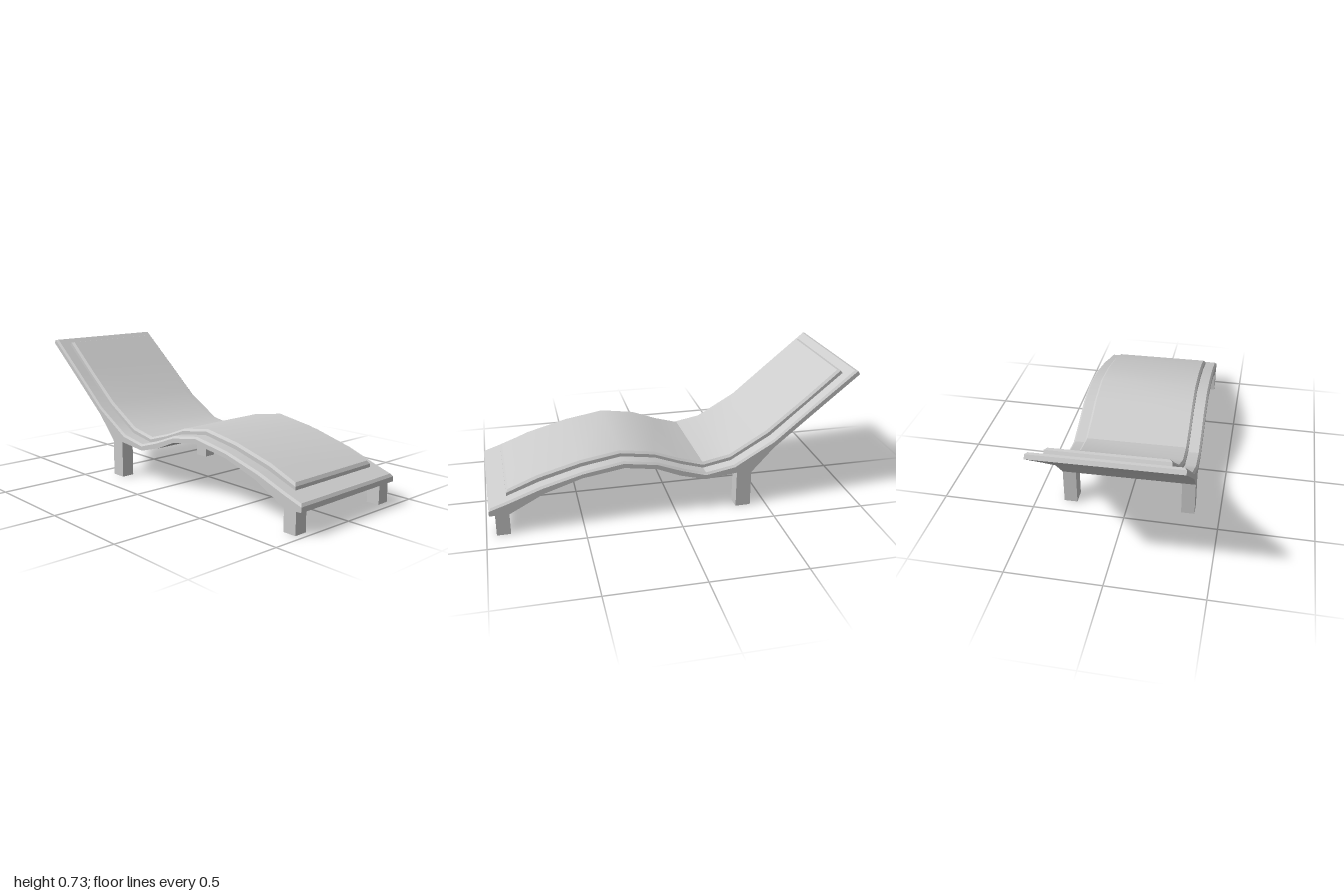
import * as THREE from 'three';
import { toCreasedNormals } from 'three/addons/utils/BufferGeometryUtils.js';

const material = new THREE.MeshStandardMaterial({ color: 0xcccccc });

// Sweeps a bevelled cross-section through stations [topZ, topY, bottomZ, bottomY], front to back
function ribbon(name, stations, halfWidth, bevel) {
  const last = stations.length - 1;
  const loops = stations.map(([tz, ty, bz, by], i) => {
    const top = new THREE.Vector2(tz, ty);
    const bottom = new THREE.Vector2(bz, by);
    const middle = top.clone().add(bottom.clone().sub(top).setLength(bevel));
    // the top edge steps inward at both ends to continue the bevel
    if (i === 0 || i === last) {
      const next = stations[i === 0 ? 1 : last - 1];
      top.add(new THREE.Vector2(next[0] - tz, next[1] - ty).setLength(bevel));
    }
    const w = halfWidth, n = halfWidth - bevel;
    return [[-w, bottom], [w, bottom], [w, middle], [n, top], [-n, top], [-w, middle]]
      .map(([x, p]) => [x, p.y, p.x]);
  });

  const index = [];
  for (let i = 0; i < last; i++) {
    for (let k = 0; k < 6; k++) {
      const a = i * 6 + k, b = i * 6 + (k + 1) % 6;
      index.push(a, a + 6, b + 6, a, b + 6, b);
    }
  }
  // end caps
  for (const [a, b, c] of [[0, 1, 2], [0, 2, 5], [5, 2, 3], [5, 3, 4]]) {
    const e = last * 6;
    index.push(a, b, c, e + a, e + c, e + b);
  }

  const geometry = new THREE.BufferGeometry();
  geometry.setAttribute('position', new THREE.Float32BufferAttribute(loops.flat(2), 3));
  geometry.setIndex(index);
  const mesh = new THREE.Mesh(toCreasedNormals(geometry, 0.42), material);
  mesh.name = name;
  return mesh;
}

export function createModel() {
  const lounger = new THREE.Group();
  lounger.name = 'lounger';
  lounger.rotation.y = 0.022;

  // Wavy base, thickened underneath where the legs meet it
  lounger.add(ribbon('frame', [
    [0.987, 0.153, 0.987, 0.116],
    [0.89, 0.185, 0.885, 0.115],
    [0.72, 0.247, 0.705, 0.209],
    [0.50, 0.306, 0.505, 0.273],
    [0.29, 0.340, 0.285, 0.305],
    [0.11, 0.312, 0.115, 0.278],
    [-0.03, 0.258, -0.01, 0.225],
    [-0.155, 0.220, -0.15, 0.186],
    [-0.31, 0.247, -0.325, 0.203],
    [-0.41, 0.304, -0.407, 0.198],
    [-0.53, 0.372, -0.53, 0.33],
    [-0.735, 0.541, -0.74, 0.503],
    [-0.972, 0.734, -0.99, 0.706],
  ], 0.357, 0.011));

  // Thin cushion following the frame's upper surface
  lounger.add(ribbon('cushion', [
    [0.892, 0.214, 0.892, 0.18],
    [0.73, 0.278, 0.72, 0.243],
    [0.505, 0.337, 0.50, 0.302],
    [0.295, 0.370, 0.29, 0.336],
    [0.115, 0.342, 0.11, 0.308],
    [-0.02, 0.289, -0.03, 0.254],
    [-0.155, 0.249, -0.155, 0.216],
    [-0.308, 0.278, -0.31, 0.243],
    [-0.51, 0.396, -0.53, 0.368],
    [-0.72, 0.564, -0.735, 0.537],
    [-0.905, 0.719, -0.925, 0.692],
  ], 0.288, 0.012));

  // Square legs, flush with the frame's sides
  for (const [label, front, back, height] of [['front', 0.957, 0.885, 0.125], ['back', -0.325, -0.407, 0.208]]) {
    for (const side of [-1, 1]) {
      const leg = new THREE.Mesh(new THREE.BoxGeometry(0.072, height, front - back), material);
      leg.position.set(side * 0.321, height / 2, (front + back) / 2);
      leg.name = `${label}${side > 0 ? 'Left' : 'Right'}Leg`;
      lounger.add(leg);
    }
  }

  const model = new THREE.Group();
  model.add(lounger);
  return model;
}
